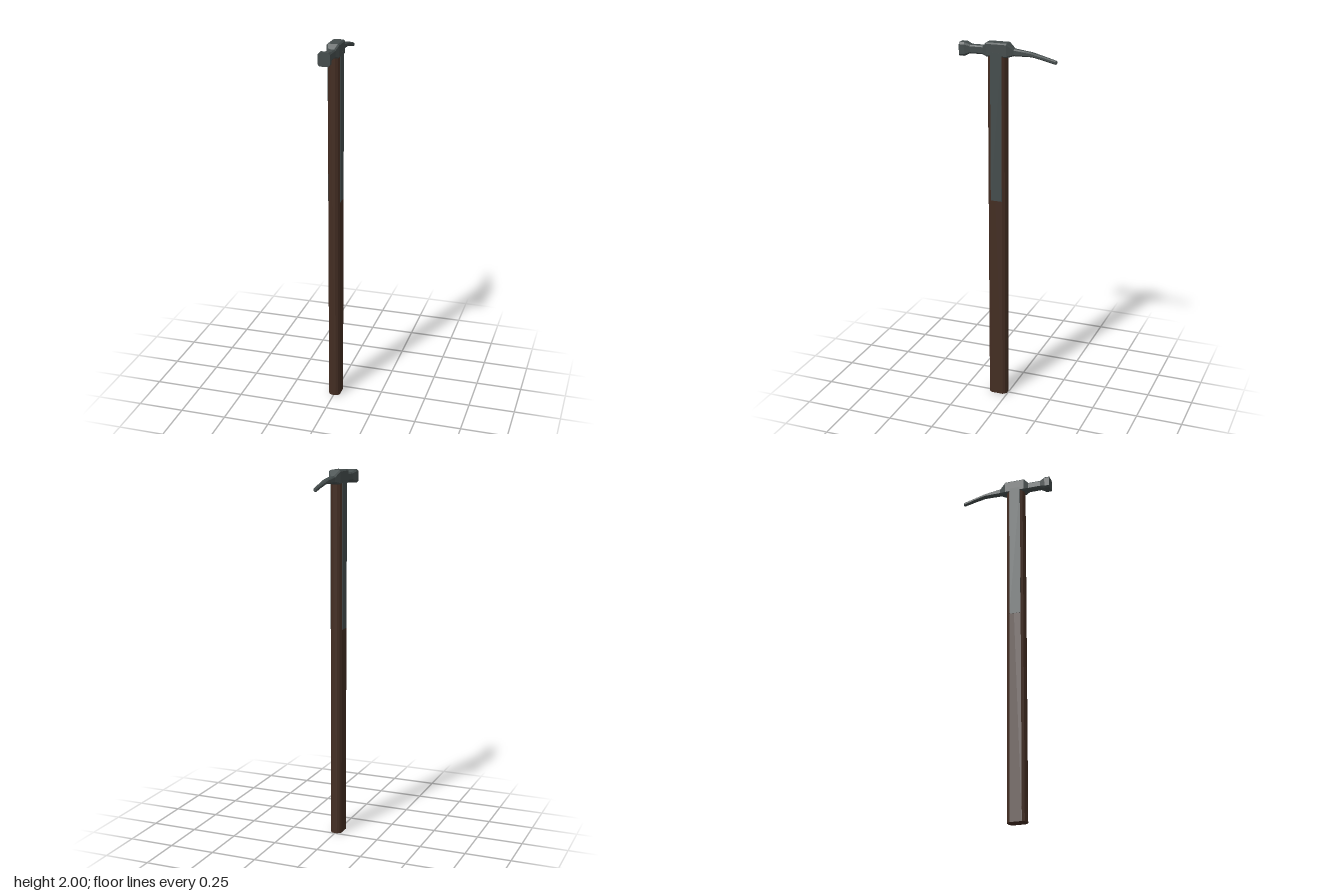
import * as THREE from 'three';

const wood = new THREE.MeshStandardMaterial({ color: 0x432d22 });
wood.name = 'dark wood';
const steel = new THREE.MeshStandardMaterial({ color: 0x444c4c });
steel.name = 'dark steel';

const HANDLE_Z = 0.056;

// Flat-faceted loft through chamfered rectangles, listed from front to back.
// Station: [z, half width, bottom y, top y, chamfer in x, chamfer in y]
function chamferedLoft(stations) {
  const rings = stations.map(([z, w, b, t, cx, cy]) => [
    [w, b + cy], [w, t - cy], [w - cx, t], [cx - w, t],
    [-w, t - cy], [-w, b + cy], [cx - w, b], [w - cx, b],
  ].map(([x, y]) => [x, y, z]));
  const pos = [];
  const tri = (...points) => points.forEach((p) => pos.push(...p));
  for (let i = 0; i < rings.length - 1; i++) {
    for (let j = 0; j < 8; j++) {
      const k = (j + 1) % 8;
      tri(rings[i][j], rings[i + 1][j], rings[i + 1][k]);
      tri(rings[i][j], rings[i + 1][k], rings[i][k]);
    }
  }
  // End faces
  const first = rings[0], last = rings[rings.length - 1];
  for (let j = 1; j < 7; j++) {
    tri(first[0], first[j], first[j + 1]);
    tri(last[0], last[j + 1], last[j]);
  }
  const geometry = new THREE.BufferGeometry();
  geometry.setAttribute('position', new THREE.Float32BufferAttribute(pos, 3));
  geometry.computeVertexNormals();
  return geometry;
}

export function createModel() {
  const group = new THREE.Group();
  const add = (name, geometry, material) => {
    const mesh = new THREE.Mesh(geometry, material);
    mesh.name = name;
    group.add(mesh);
    return mesh;
  };

  // Handle: long shaft with flat cheeks and faceted rounded edges
  const quarter = [[0.032, 0.032], [0.024, 0.045], [0.011, 0.052]];
  const half = [...quarter, ...quarter.slice().reverse().map(([x, z]) => [-x, z])];
  const outline = [...half, ...half.map(([x, z]) => [-x, -z])];
  const section = new THREE.Shape(outline.map(([x, z]) => new THREE.Vector2(x, z)));
  const shaft = new THREE.ExtrudeGeometry(section, { depth: 1.94, bevelEnabled: false });
  shaft.rotateX(-Math.PI / 2);
  add('handle', shaft, wood).position.z = HANDLE_Z;

  // Steel straps running down both cheeks of the handle
  for (const side of [1, -1]) {
    const strap = add(side > 0 ? 'leftStrap' : 'rightStrap',
      new THREE.BoxGeometry(0.008, 0.795, 0.062), steel);
    strap.position.set(side * 0.0295, 1.5525, HANDLE_Z);
  }

  // Head: striking face, neck, central block and down-curved pick
  add('head', chamferedLoft([
    [0.26, 0.031, 1.92, 1.99, 0.008, 0.01],
    [0.232, 0.031, 1.92, 1.99, 0.008, 0.01],
    [0.203, 0.021, 1.934, 1.978, 0.006, 0.007],
    [0.133, 0.021, 1.934, 1.978, 0.006, 0.007],
    [0.11, 0.033, 1.927, 2.0, 0.007, 0.007],
    [0.0, 0.033, 1.927, 2.0, 0.007, 0.007],
    [-0.035, 0.017, 1.936, 1.972, 0.007, 0.007],
    [-0.13, 0.016, 1.937, 1.96, 0.008, 0.006],
    [-0.19, 0.013, 1.924, 1.945, 0.007, 0.006],
    [-0.253, 0.01, 1.908, 1.928, 0.005, 0.005],
    [-0.26, 0.007, 1.91, 1.925, 0.003, 0.004],
  ]), steel);

  return group;
}
